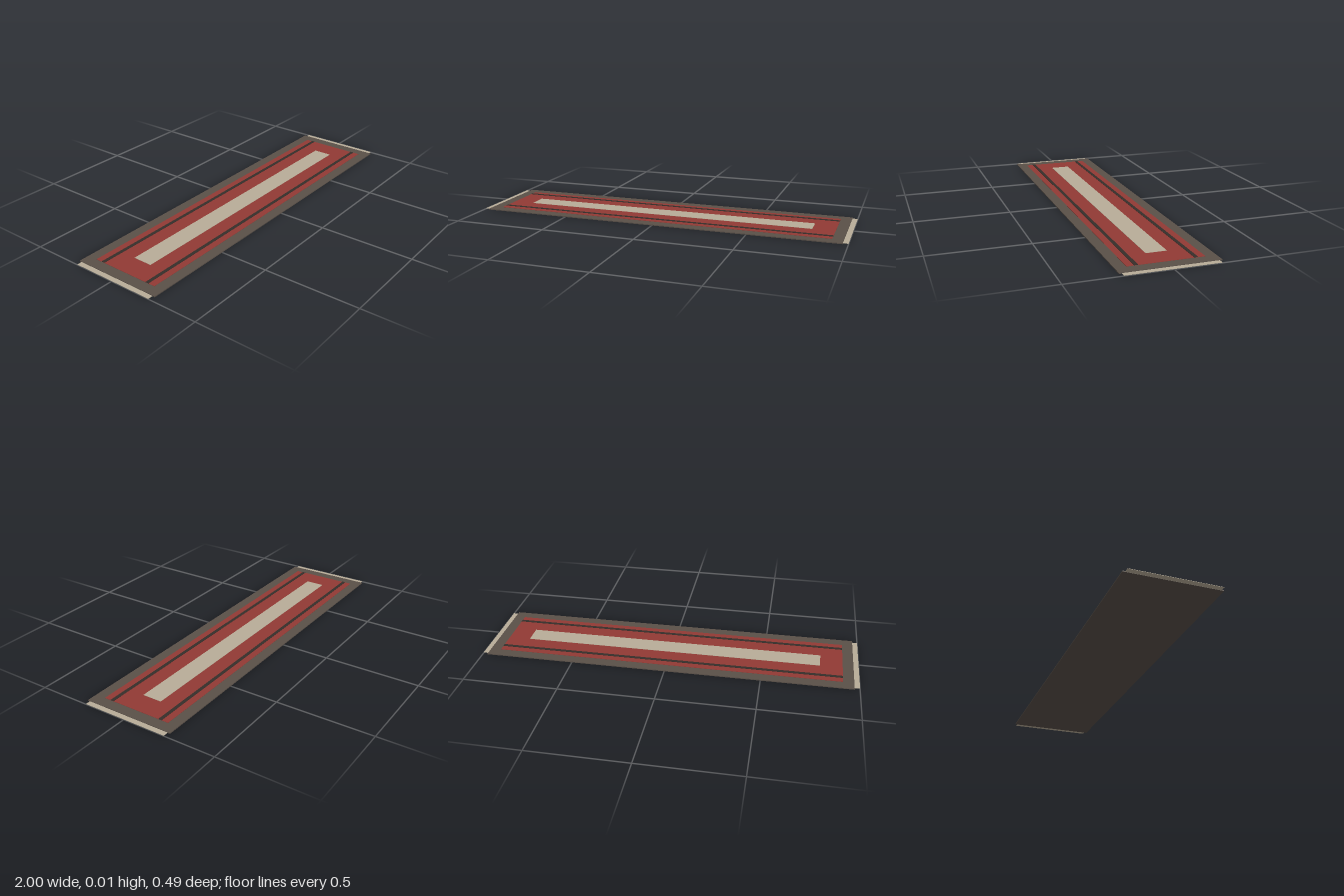
import * as THREE from 'three';

export function createModel() {
  const rug = new THREE.Group();
  rug.name = 'runnerRug';

  const material = (color) => new THREE.MeshStandardMaterial({ color });
  const border = material(0x5a5048);
  const red = material(0x923a34);
  const cream = material(0xb8ad98);
  const dark = material(0x352e2a);

  // Flat slab spanning y0..y1, centred on (x, z)
  function slab(name, mat, width, depth, y0, y1, x = 0, z = 0) {
    const mesh = new THREE.Mesh(new THREE.BoxGeometry(width, y1 - y0, depth), mat);
    mesh.position.set(x, (y0 + y1) / 2, z);
    mesh.name = name;
    rug.add(mesh);
  }

  // Woven layers, each sitting slightly proud of the one below
  slab('border', border, 1.946, 0.486, 0, 0.005);
  slab('field', red, 1.834, 0.376, 0.004, 0.0062);
  slab('centrePanel', cream, 1.6, 0.104, 0.005, 0.0075);

  // Mirrored stripes and end fringes
  for (const [side, s] of [['left', 1], ['right', -1]]) {
    slab(side + 'Fringe', cream, 0.035, 0.46, 0.001, 0.0025, s * 0.9825);
  }
  for (const [side, s] of [['front', 1], ['back', -1]]) {
    slab(side + 'Stripe', dark, 1.834, 0.018, 0.005, 0.0078, 0, s * 0.143);
  }
  return rug;
}
